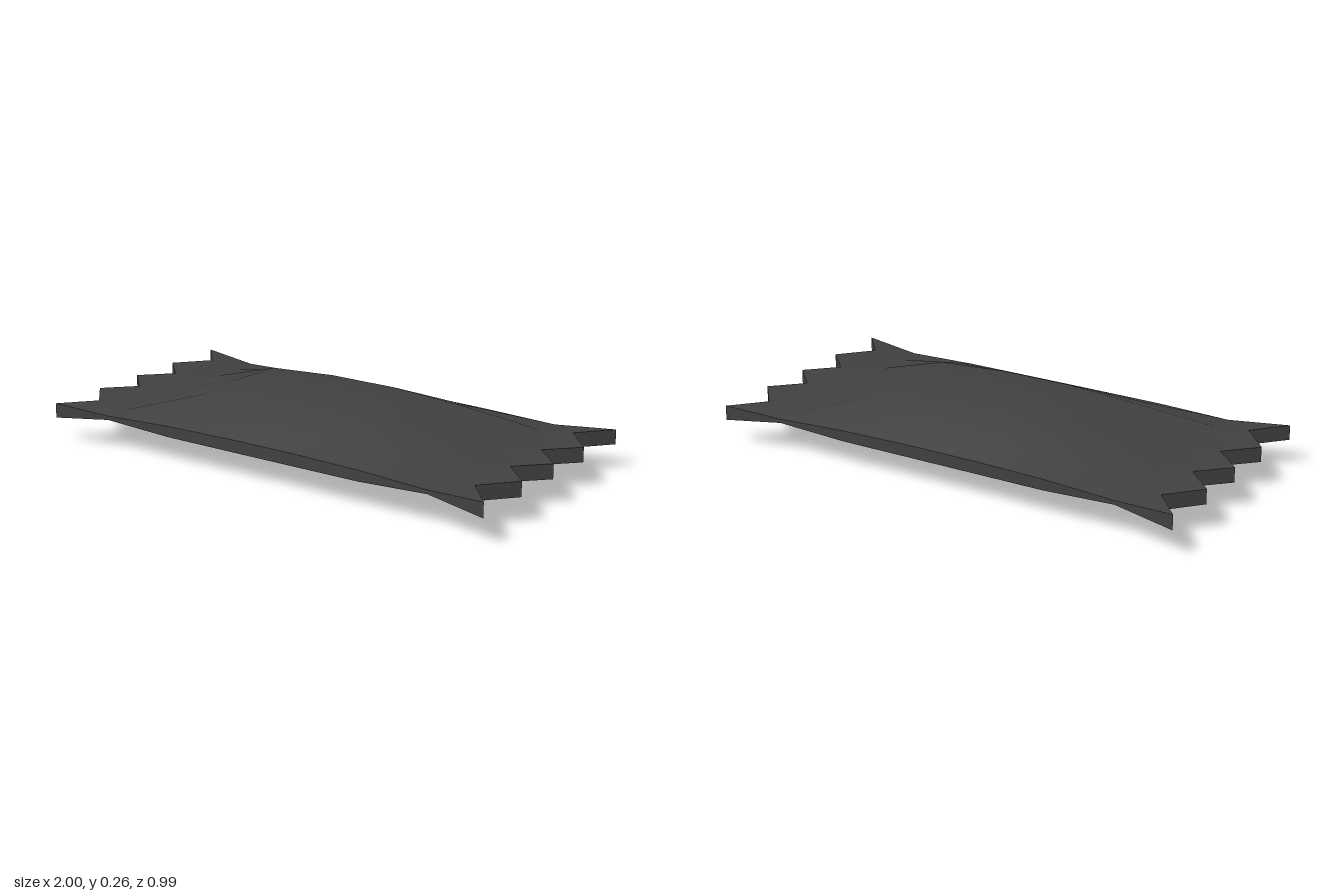
import * as THREE from 'three';

// Cross-sections on the +x half: x, half width, then top and bottom heights at centre, quarter and edge
const HALF = [
  { x: 0.15, w: 0.45, top: [0.265, 0.25, 0.16], bottom: [0.003, 0.018, 0.11] },
  { x: 0.45, w: 0.456, top: [0.24, 0.232, 0.157], bottom: [0.03, 0.037, 0.113] },
  { x: 0.75, w: 0.464, top: [0.147, 0.147, 0.146], bottom: [0.13, 0.13, 0.13] },
  { x: 1.0, w: 0.497, top: [0.163, 0.163, 0.163], bottom: [0.103, 0.103, 0.103] },
];
const SECTIONS = [...HALF.map((s) => ({ ...s, x: -s.x })).reverse(), ...HALF];
const COLS = [0, 0.116, 0.233, 0.366]; // inner columns, the outermost is the edge
const LAST = SECTIONS.length - 1;
const TOOTH_DEPTH = 0.115;

// Point of the pouch skin at section i, column j (0..8)
function skinPoint(i, j, side) {
  const s = SECTIONS[i];
  const k = Math.abs(j - 4);
  const z = k === 4 ? s.w : COLS[k];
  const [centre, quarter, edge] = s[side];
  const y = z <= COLS[2]
    ? THREE.MathUtils.lerp(centre, quarter, z / COLS[2])
    : THREE.MathUtils.lerp(quarter, edge, (z - COLS[2]) / (s.w - COLS[2]));
  // every second column of the end sections is cut back into a notch
  const notch = (i === 0 || i === LAST) && k % 2 === 1 ? TOOTH_DEPTH : 0;
  return [s.x - Math.sign(s.x) * notch, y, Math.sign(j - 4) * z];
}

function makeGeometry(positions, index) {
  const g = new THREE.BufferGeometry();
  g.setAttribute('position', new THREE.Float32BufferAttribute(positions, 3));
  g.setIndex(index);
  g.computeVertexNormals();
  return g;
}

// Smooth top or bottom sheet
function skin(side) {
  const pos = [], index = [];
  for (let i = 0; i <= LAST; i++) for (let j = 0; j < 9; j++) pos.push(...skinPoint(i, j, side));
  for (let i = 0; i < LAST; i++) {
    for (let j = 0; j < 8; j++) {
      const a = i * 9 + j, b = a + 1, c = a + 9, d = a + 10;
      if (side === 'top') index.push(a, b, c, b, d, c);
      else index.push(a, c, b, b, c, d);
    }
  }
  return makeGeometry(pos, index);
}

// Rim of separate flat quads joining the two sheets
function rim() {
  const loop = [];
  for (let i = 0; i < LAST; i++) loop.push([i, 8]);
  for (let j = 8; j > 0; j--) loop.push([LAST, j]);
  for (let i = LAST; i > 0; i--) loop.push([i, 0]);
  for (let j = 0; j < 8; j++) loop.push([0, j]);
  const pos = [], index = [];
  loop.forEach((p, n) => {
    const q = loop[(n + 1) % loop.length];
    pos.push(...skinPoint(...p, 'bottom'), ...skinPoint(...q, 'bottom'),
      ...skinPoint(...q, 'top'), ...skinPoint(...p, 'top'));
    const a = n * 4;
    index.push(a, a + 1, a + 2, a, a + 2, a + 3);
  });
  return makeGeometry(pos, index);
}

export function createModel() {
  const group = new THREE.Group();
  group.name = 'wrapper';
  const material = new THREE.MeshStandardMaterial();
  material.color.set(0x404040);
  const parts = { topSheet: skin('top'), bottomSheet: skin('bottom'), serratedRim: rim() };
  for (const [name, geometry] of Object.entries(parts)) {
    const mesh = new THREE.Mesh(geometry, material);
    mesh.name = name;
    group.add(mesh);
  }
  return group;
}
